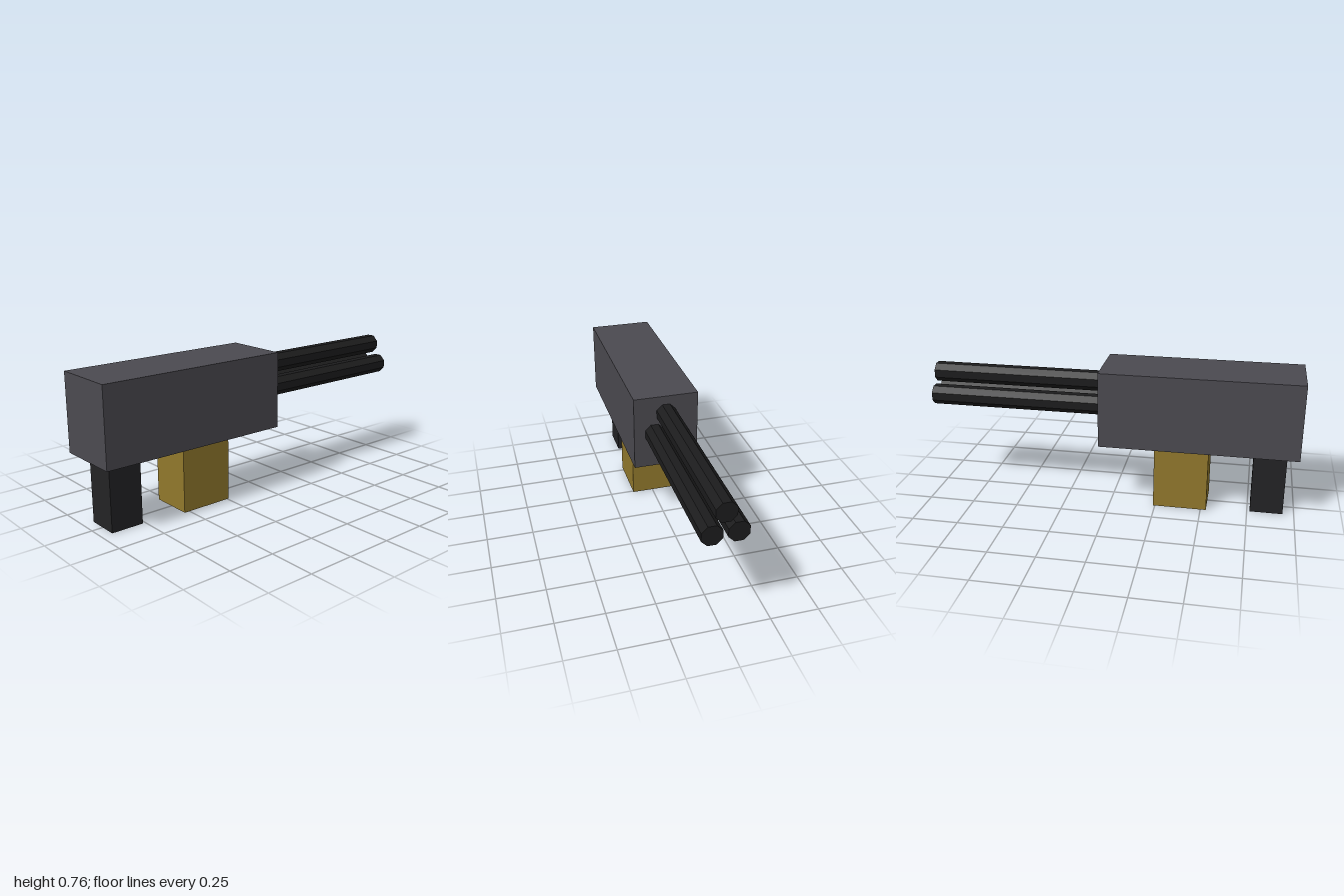
import * as THREE from 'three';

export function createModel() {
  const model = new THREE.Group();
  model.name = 'blaster';

  const paint = (color) => new THREE.MeshStandardMaterial({ color, flatShading: true });
  const bodyGrey = paint(0x4b4a50);
  const black = paint(0x232325);
  const barrelBlack = paint(0x1c1c1d);
  const brass = paint(0x91782c);

  // Box given by half width, and its y and z ranges
  function addBlock(name, halfWidth, [y0, y1], [z0, z1], material) {
    const mesh = new THREE.Mesh(new THREE.BoxGeometry(2 * halfWidth, y1 - y0, z1 - z0), material);
    mesh.name = name;
    mesh.position.set(0, (y0 + y1) / 2, (z0 + z1) / 2);
    model.add(mesh);
  }

  addBlock('body', 0.175, [0.355, 0.765], [-0.055, 1], bodyGrey);
  addBlock('grip', 0.088, [0, 0.355], [0.765, 0.94], black);
  addBlock('magazine', 0.117, [0, 0.355], [0.24, 0.53], brass);

  // Three octagonal barrels in a triangle, flats facing up and sideways
  const barrelStart = -0.04, barrelEnd = -1;
  const barrelGeometry = new THREE.CylinderGeometry(0.055, 0.055, barrelStart - barrelEnd, 8);
  barrelGeometry.rotateY(Math.PI / 8).rotateX(Math.PI / 2);
  const barrels = new THREE.Group();
  barrels.name = 'barrels';
  const layout = [['topBarrel', 0, 0.666], ['leftBarrel', 0.063, 0.554], ['rightBarrel', -0.063, 0.554]];
  for (const [name, x, y] of layout) {
    const barrel = new THREE.Mesh(barrelGeometry, barrelBlack);
    barrel.name = name;
    barrel.position.set(x, y, (barrelStart + barrelEnd) / 2);
    barrels.add(barrel);
  }
  model.add(barrels);

  return model;
}
